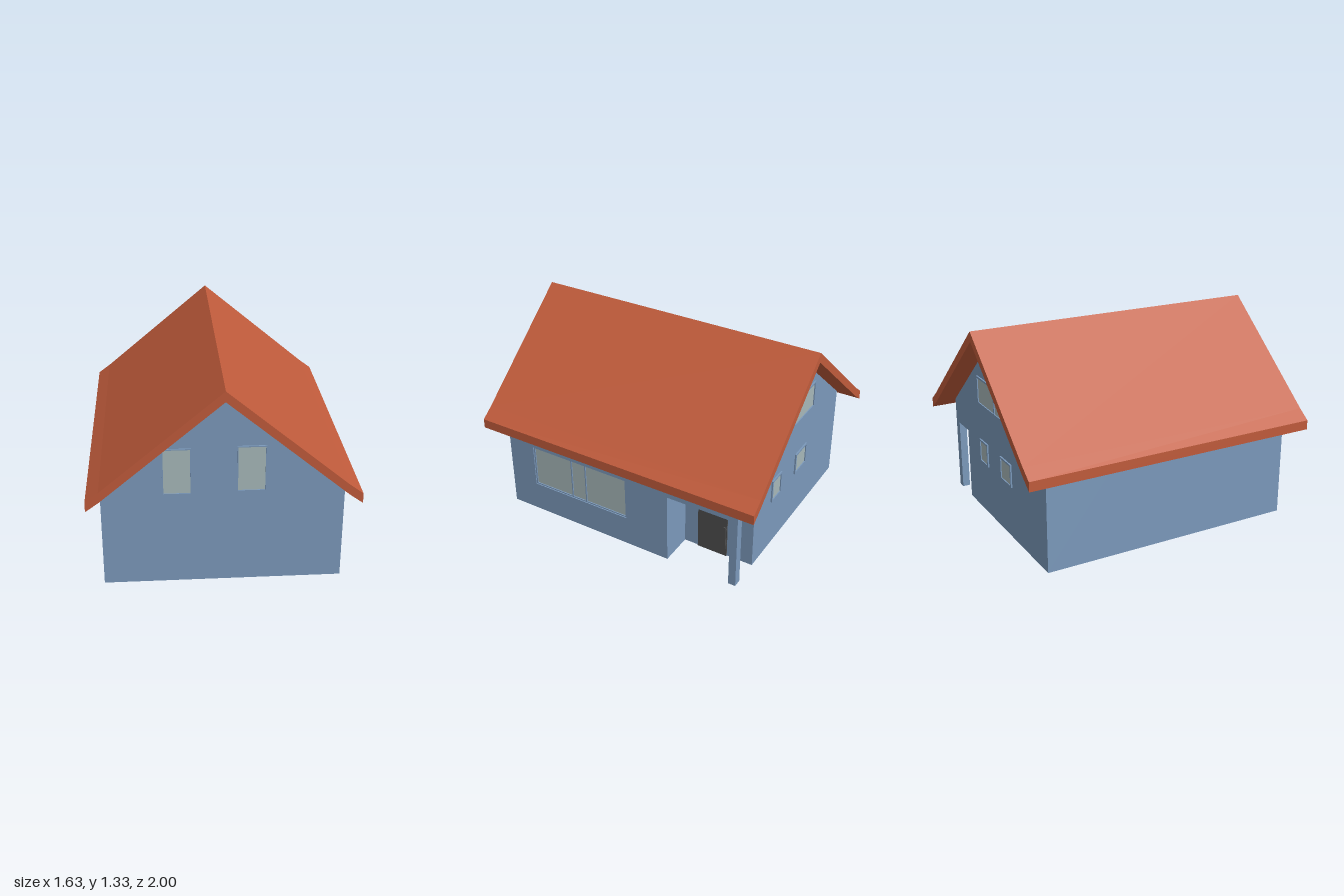
import * as THREE from 'three';

const material = (color) => new THREE.MeshStandardMaterial({ color, flatShading: true });

export function createModel() {
  const house = new THREE.Group();
  const wall = material(0x7b99bb);
  const roofRed = material(0xc05b3b);
  const glass = material(0xa7b8b9);
  const dark = material(0x4d4d4d);

  const polygon = (points) => new THREE.Shape(points.map(([x, y]) => new THREE.Vector2(x, y)));
  const rectangle = (x0, x1, y0, y1) => polygon([[x0, y0], [x1, y0], [x1, y1], [x0, y1]]);

  // Extrudes a shape from z0 to z1
  function slab(name, shape, z0, z1, mat, parent = house) {
    const geometry = new THREE.ExtrudeGeometry(shape, { depth: z1 - z0, bevelEnabled: false });
    const mesh = new THREE.Mesh(geometry.translate(0, 0, z0), mat);
    mesh.name = name;
    parent.add(mesh);
    return mesh;
  }

  function box(name, x0, x1, y0, y1, z0, z1, mat) {
    return slab(name, rectangle(x0, x1, y0, y1), z0, z1, mat);
  }

  // Framed window facing local +z, with one opening per pane [x0, x1]
  function windowUnit(name, x0, x1, y0, y1, panes, border, front, parent) {
    const group = new THREE.Group();
    group.name = name;
    const frame = rectangle(x0, x1, y0, y1);
    for (const [a, b] of panes) {
      frame.holes.push(rectangle(a, b, y0 + border, y1 - border));
    }
    slab('windowFrame', frame, front - 0.012, front, wall, group);
    for (const [a, b] of panes) {
      slab('windowPane', rectangle(a, b, y0 + border, y1 - border), front - 0.012, front - 0.007, glass, group);
    }
    parent.add(group);
  }

  // Main body; its right side leaves room for the recessed window wall
  slab('mainBody', polygon([
    [-0.735, 0], [0.715, 0], [0.715, 0.667], [0, 1.265], [-0.735, 0.65],
  ]), -0.37, 0.86, wall);

  // Rear body with the corner porch cut out
  slab('porchBody', polygon([
    [-0.735, 0], [0.51, 0], [0.51, 0.49], [0.735, 0.49], [0.735, 0.65], [0, 1.265], [-0.735, 0.65],
  ]), -0.86, -0.37, wall);
  box('porchPost', 0.68, 0.735, 0, 0.49, -0.86, -0.81, wall);

  // Right side wall and its long three-pane window
  const rightSide = new THREE.Group();
  rightSide.name = 'rightSide';
  rightSide.rotation.y = Math.PI / 2;
  house.add(rightSide);
  const sideWall = rectangle(-0.86, 0.37, 0, 0.655);
  sideWall.holes.push(rectangle(-0.667, 0.062, 0.205, 0.5));
  slab('sideWall', sideWall, 0.715, 0.735, wall, rightSide);
  windowUnit('sideWindow', -0.667, 0.062, 0.205, 0.5,
    [[-0.658, -0.369], [-0.361, -0.259], [-0.251, 0.053]], 0.008, 0.728, rightSide);

  // Front gable windows
  windowUnit('frontWindow', -0.365, -0.19, 0.613, 0.915, [[-0.358, -0.197]], 0.007, 0.869, house);
  windowUnit('frontWindow', 0.08, 0.257, 0.622, 0.922, [[0.087, 0.25]], 0.007, 0.869, house);

  // Back windows: a wide pair above two small ones
  const backSide = new THREE.Group();
  backSide.name = 'backSide';
  backSide.rotation.y = Math.PI;
  house.add(backSide);
  windowUnit('wideBackWindow', -0.28, 0.305, 0.76, 0.95, [[-0.268, -0.005], [0.007, 0.293]], 0.012, 0.87, backSide);
  windowUnit('smallBackWindow', -0.28, -0.145, 0.35, 0.51, [[-0.268, -0.157]], 0.012, 0.87, backSide);
  windowUnit('smallBackWindow', 0.065, 0.235, 0.355, 0.51, [[0.077, 0.223]], 0.012, 0.87, backSide);

  // Porch door with an upright pull handle
  box('door', 0.505, 0.518, 0, 0.435, -0.68, -0.47, dark);
  box('doorHandle', 0.528, 0.538, 0.07, 0.24, -0.68, -0.665, dark);
  for (const y of [0.09, 0.21]) {
    box('handleMount', 0.515, 0.53, y, y + 0.012, -0.678, -0.667, dark);
  }

  // Overhanging roof, flaring slightly at the eaves
  slab('roof', polygon([
    [-0.815, 0.592], [-0.735, 0.65], [0, 1.265], [0.735, 0.65], [0.815, 0.592],
    [0.815, 0.655], [0.735, 0.715], [0, 1.33], [-0.735, 0.715], [-0.815, 0.655],
  ]), -1, 1, roofRed);

  return house;
}
